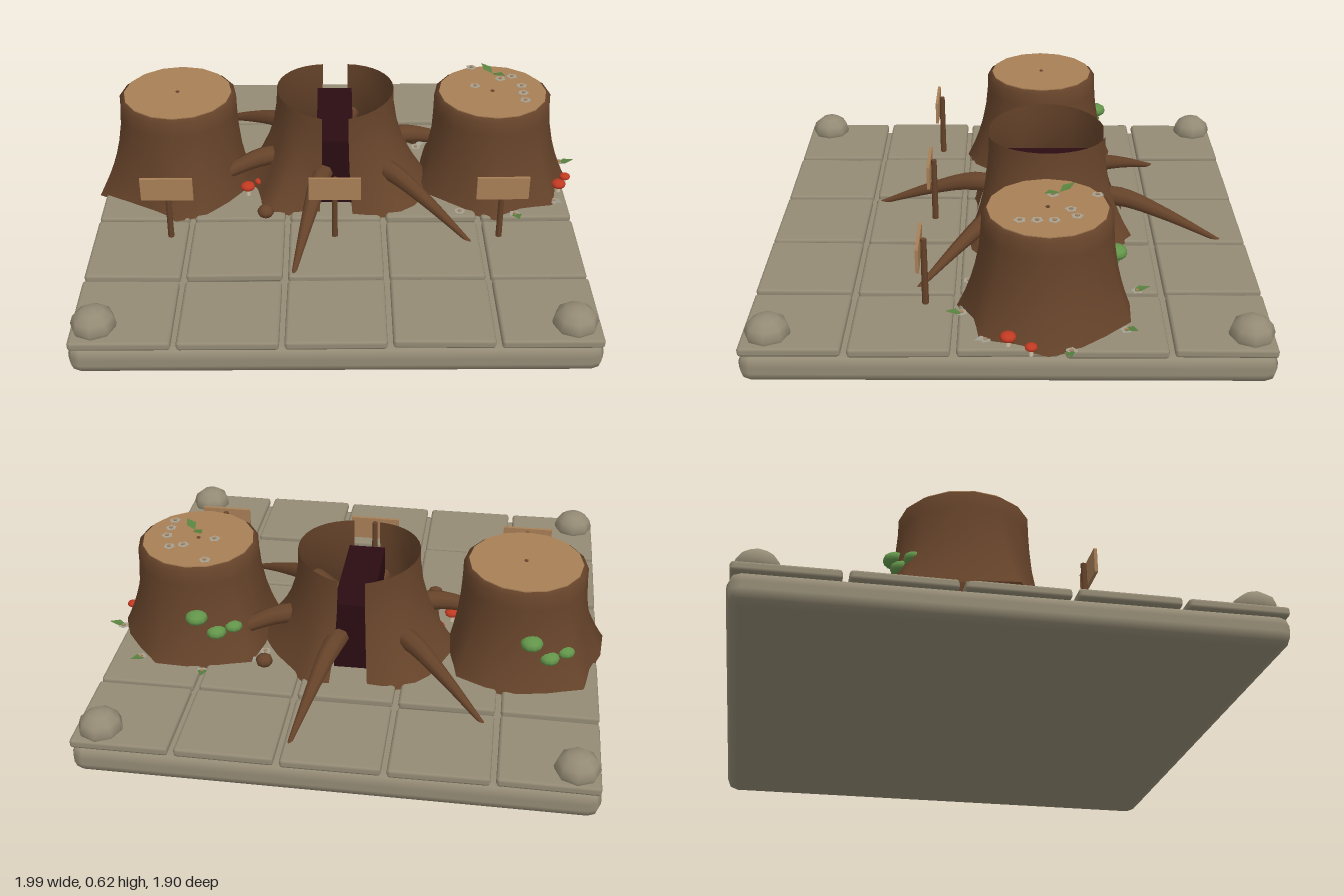
import * as THREE from 'three';
import { RoundedBoxGeometry } from 'three/addons/geometries/RoundedBoxGeometry.js';

const mat = (name, color, double = false) => {
  const m = new THREE.MeshStandardMaterial({ color });
  m.name = name;
  if (double) m.side = THREE.DoubleSide;
  return m;
};

export function createModel() {
  const model = new THREE.Group();
  const stone = mat('stone', 0x948b75);
  const bark = mat('bark', 0x66432a, true);
  const cutWood = mat('cutWood', 0xa87f56);
  const hollow = mat('hollowDark', 0x2a0c12);
  const red = mat('mushroomRed', 0xc23a22);
  const stemPale = mat('mushroomStem', 0xd2c2a4);
  const moss = mat('mossGreen', 0x63954a);
  const leafGreen = mat('leafGreen', 0x5a8240, true);
  const petal = mat('petalGrey', 0xa3a093, true);

  const add = (name, geo, material, x = 0, y = 0, z = 0, parent = model) => {
    const m = new THREE.Mesh(geo, material);
    m.name = name;
    m.position.set(x, y, z);
    parent.add(m);
    return m;
  };

  // Stone plinth with slightly uneven paving slabs
  add('plinth', new RoundedBoxGeometry(1.9, 0.115, 1.9, 1, 0.045), stone, -0.03, 0.0575, 0);
  const slab = new RoundedBoxGeometry(0.362, 0.036, 0.362, 1, 0.012);
  for (let i = 0; i < 5; i++) {
    for (let j = 0; j < 5; j++) {
      const t = add('pavingSlab', slab, stone, -0.03 + (i - 2) * 0.382, 0.128 + 0.003 * Math.sin(i * 5 + j * 3), (j - 2) * 0.382);
      t.rotation.set(0.008 * Math.sin(i * 3 + j * 7), 0.006 * Math.sin(i + j * 2), 0.008 * Math.cos(i * 4 + j));
    }
  }

  // Corner boulders
  for (const x of [-0.89, 0.82]) {
    for (const z of [-0.86, 0.85]) {
      const b = add('boulder', new THREE.SphereGeometry(0.083, 8, 6), stone, x, 0.16, z);
      b.scale.y = 0.8;
    }
  }

  // Bark wall: rings widening into jagged root points at the foot
  const barkWall = (feet, start, length, segs, topAt, lip) => {
    const closed = length > 6.28;
    const cols = closed ? segs : segs + 1;
    const levels = [0, 0.08, 0.18, 0.3, 0.45, 0.65, 0.85, 1];
    const pos = [], idx = [];
    const rows = levels.length + (lip ? 1 : 0);
    for (let j = 0; j < rows; j++) {
      const t = levels[Math.min(j, levels.length - 1)];
      for (let i = 0; i < cols; i++) {
        const a = start + (length * i) / segs;
        const f = ((((a / (Math.PI * 2)) % 1) + 1) % 1) * feet.length;
        const k = Math.floor(f) % feet.length;
        const foot = THREE.MathUtils.lerp(feet[k], feet[(k + 1) % feet.length], f - Math.floor(f));
        let r = 0.237 + (foot - 0.237) * Math.pow(1 - t, 2.2);
        let y = 0.135 + (topAt(a) - 0.135) * t;
        if (j === levels.length) { r = 0.215; y += 0.014; }
        pos.push(r * Math.cos(a), y, r * Math.sin(a));
      }
    }
    for (let j = 0; j < rows - 1; j++) {
      for (let i = 0; i < segs; i++) {
        const n = (i + 1) % cols;
        const a = j * cols + i, b = j * cols + n;
        idx.push(a, a + cols, b, b, a + cols, b + cols);
      }
    }
    const g = new THREE.BufferGeometry();
    g.setAttribute('position', new THREE.Float32BufferAttribute(pos, 3));
    g.setIndex(idx);
    g.computeVertexNormals();
    return g;
  };

  // Two solid stumps with pale cut tops
  const leftFeet = [0.29, 0.29, 0.29, 0.32, 0.33, 0.28, 0.29, 0.36, 0.32, 0.30, 0.36, 0.32, 0.32, 0.32, 0.34, 0.29];
  const rightFeet = [0.33, 0.30, 0.35, 0.29, 0.33, 0.30, 0.29, 0.33, 0.28, 0.30, 0.35, 0.31, 0.31, 0.33, 0.30, 0.31];
  for (const [x, feet] of [[-0.67, leftFeet], [0.61, rightFeet]]) {
    const stump = new THREE.Group();
    stump.name = 'stump';
    stump.position.set(x, 0, -0.14);
    model.add(stump);
    add('stumpBark', barkWall(feet, 0, Math.PI * 2, 16, () => 0.53, true), bark, 0, 0, 0, stump);
    add('cutTop', new THREE.CylinderGeometry(0.218, 0.218, 0.01, 16), cutWood, 0, 0.541, 0, stump).rotation.y = Math.PI / 2;
    add('heartwood', new THREE.CylinderGeometry(0.008, 0.008, 0.004, 8), bark, 0, 0.547, 0, stump);
  }

  // Hollow stump, split front and back into two shells around a dark core
  const midFeet = [0.40, 0.42, 0.42, 0.34, 0.28, 0.31, 0.41, 0.34, 0.40, 0.38, 0.40, 0.36, 0.30, 0.38, 0.34, 0.36];
  const gap = 0.22;
  for (const s of [-Math.PI / 2, Math.PI / 2]) {
    add('splitShell', barkWall(midFeet, s + gap, Math.PI - 2 * gap, 16, (a) => 0.54 + 0.02 * Math.abs(Math.cos(a)), false), bark, -0.03, 0, -0.15);
  }
  add('hollowCore', new THREE.BoxGeometry(0.145, 0.3, 0.44), hollow, -0.032, 0.285, -0.15);

  // Six tapering roots, arching out of the hollow stump
  const path = new THREE.CatmullRomCurve3([[0, 0.27], [0.2, 0.285], [0.32, 0.285], [0.48, 0.235], [0.73, 0.13]]
    .map(([x, y]) => new THREE.Vector3(x, y, 0)));
  const rootGeo = new THREE.TubeGeometry(path, 20, 1, 8);
  const p = rootGeo.attributes.position;
  for (let i = 0; i < p.count; i++) {
    const u = Math.floor(i / 9) / 20;
    const c = path.getPointAt(u);
    const r = u < 0.4 ? 0.036 + 0.01 * u : 0.04 - 0.033 * (u - 0.4) / 0.6;
    const v = new THREE.Vector3().fromBufferAttribute(p, i).sub(c).multiplyScalar(r).add(c);
    p.setXYZ(i, v.x, v.y, v.z);
  }
  for (let k = 0; k < 6; k++) {
    add('root', rootGeo, bark, -0.03, 0, -0.15).rotation.y = ((17 + 60 * k) * Math.PI) / 180;
  }

  // Wooden signs
  for (const x of [-0.675, -0.033, 0.61]) {
    add('signPost', new THREE.CylinderGeometry(0.011, 0.013, 0.28, 6), bark, x, 0.275, 0.305);
    add('signBoard', new THREE.BoxGeometry(0.2, 0.095, 0.012), cutWood, x, 0.378, 0.323);
  }

  // Wood knobs on the paving
  for (const [x, z] of [[0.31, -0.4], [-0.31, 0.17]]) {
    add('woodKnob', new THREE.SphereGeometry(0.034, 8, 6), bark, x, 0.17, z).scale.y = 0.8;
  }

  // Mushrooms
  for (const [x, y, z, r] of [[-0.39, 0.185, 0.01, 0.03], [-0.345, 0.165, -0.06, 0.022], [0.89, 0.185, 0.0, 0.03], [0.93, 0.17, -0.08, 0.023]]) {
    add('mushroomStem', new THREE.CylinderGeometry(r * 0.3, r * 0.35, y - 0.135, 6), stemPale, x, (y + 0.135) / 2, z);
    add('mushroomCap', new THREE.SphereGeometry(r, 10, 6), red, x, y, z).scale.y = 0.6;
  }

  // Moss cushions on the backs of the solid stumps
  for (const x of [-0.67, 0.61]) {
    for (const [dx, y, dz, r] of [[-0.04, 0.34, -0.25, 0.044], [-0.11, 0.27, -0.235, 0.04], [-0.17, 0.28, -0.2, 0.036]]) {
      add('moss', new THREE.SphereGeometry(r, 10, 6), moss, x + dx, y, -0.14 + dz).scale.y = 0.65;
    }
  }

  // Folded pointed leaves: x, y, z, heading, material
  const leafGeo = new THREE.BufferGeometry();
  leafGeo.setAttribute('position', new THREE.Float32BufferAttribute(
    [0, 0, 0, 0.03, 0.012, -0.02, 0.07, 0.018, 0, 0.03, 0.012, 0.02], 3));
  leafGeo.setIndex([0, 2, 1, 0, 3, 2]);
  leafGeo.computeVertexNormals();
  const leaves = [
    [0.54, 0.15, -0.46, 1.7, leafGreen], [0.78, 0.15, -0.41, 0.8, leafGreen], [0.92, 0.15, -0.21, 0.1, leafGreen],
    [0.85, 0.15, 0.06, -1.0, petal], [0.69, 0.15, 0.16, -1.4, leafGreen], [0.33, 0.15, -0.35, 1.2, petal],
    [0.61, 0.605, -0.18, 2.2, leafGreen], [0.61, 0.605, -0.18, -0.9, leafGreen]
  ];
  for (const [x, y, z, a, m] of leaves) add('leaf', leafGeo, m, x, y, z).rotation.y = a;

  // Small five-sided blossoms
  const blossom = new THREE.CircleGeometry(0.023, 5).rotateX(-Math.PI / 2);
  const centre = new THREE.CylinderGeometry(0.008, 0.008, 0.004, 6);
  const flowers = [[0.54, 0.56, -0.32], [0.54, 0.56, -0.16], [0.65, 0.56, -0.22], [0.7, 0.56, -0.24], [0.73, 0.56, -0.16],
    [0.73, 0.56, -0.1], [0.73, 0.56, -0.04], [0.54, 0.155, -0.48], [0.32, 0.165, -0.33], [0.47, 0.155, 0.15],
    [0.69, 0.155, 0.17], [0.86, 0.155, 0.08], [0.8, 0.155, -0.42], [0.93, 0.155, -0.22]];
  flowers.forEach(([x, y, z], i) => {
    add('blossom', blossom, petal, x, y, z).rotation.y = i;
    add('blossomCentre', centre, cutWood, x, y + 0.002, z);
  });

  return model;
}
